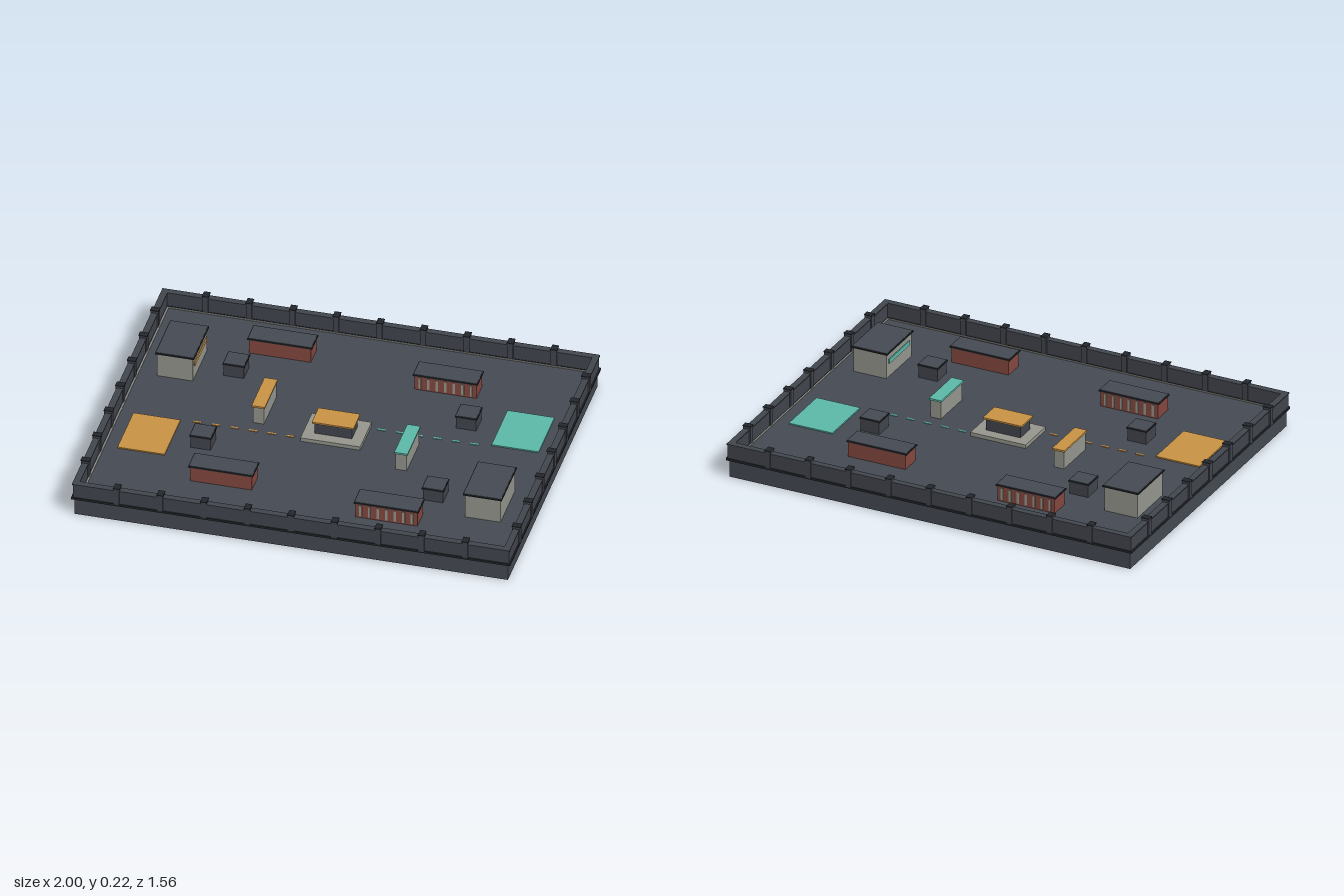
import * as THREE from 'three';

const mat = (name, color, side = THREE.FrontSide) => {
  const m = new THREE.MeshStandardMaterial({ color, side });
  m.name = name;
  return m;
};

export function createModel() {
  const slate = mat('slate', 0x464b54);
  const wallGrey = mat('wall grey', 0x42464e);
  const dark = mat('dark trim', 0x24272c);
  const concrete = mat('concrete', 0x97988f);
  const brick = mat('brick red', 0x86493f);
  const amber = mat('amber', 0xcb9445);
  const teal = mat('teal', 0x5dbaaa);

  const model = new THREE.Group();
  model.name = 'arena';
  const FLOOR = 0.09;

  // Box given by its centre in x and z, its bottom y and its size
  const box = (parent, name, material, x, y, z, w, h, d) => {
    const mesh = new THREE.Mesh(new THREE.BoxGeometry(w, h, d), material);
    mesh.name = name;
    mesh.position.set(x, y + h / 2, z);
    parent.add(mesh);
    return mesh;
  };

  // Flat roof: thin dark lip under a slate top
  const roof = (parent, x, y, z, w, d) => {
    box(parent, 'roofLip', dark, x, y, z, w, 0.006, d);
    box(parent, 'roofTop', slate, x, y + 0.006, z, w - 0.008, 0.002, d - 0.008);
  };

  // Base slab and the ledge around it
  box(model, 'base', slate, 0, 0, 0, 1.97, FLOOR, 1.53);
  for (const s of [-1, 1]) {
    box(model, 'ledge', dark, 0, 0.084, s * 0.763, 1.994, 0.01, 0.03);
    box(model, 'ledge', dark, s * 0.983, 0.084, 0, 0.03, 0.01, 1.55);
  }

  // Perimeter walls, their caps, posts and the pale floor line inside
  for (const s of [-1, 1]) {
    box(model, 'longWall', wallGrey, 0, FLOOR, s * 0.761, 1.98, 0.069, 0.024);
    box(model, 'longWallCap', wallGrey, 0, 0.159, s * 0.761, 1.988, 0.005, 0.03);
    box(model, 'sideWall', wallGrey, s * 0.98, FLOOR, 0, 0.024, 0.069, 1.54);
    box(model, 'sideWallCap', wallGrey, s * 0.98, 0.159, 0, 0.03, 0.005, 1.546);
    box(model, 'floorLine', concrete, 0, FLOOR, s * 0.739, 1.926, 0.003, 0.006);
    box(model, 'floorLine', concrete, s * 0.96, FLOOR, 0, 0.006, 0.003, 1.478);
    for (let i = -4; i <= 4; i++) {
      box(model, 'longWallPost', wallGrey, i * 0.198, FLOOR, s * 0.76, 0.026, 0.084, 0.036);
      box(model, 'longWallPostCap', dark, i * 0.198, 0.174, s * 0.76, 0.03, 0.004, 0.04);
    }
    for (let i = -3; i <= 3; i++) {
      box(model, 'sideWallPost', wallGrey, s * 0.98, FLOOR, i * 0.198, 0.036, 0.084, 0.026);
      box(model, 'sideWallPostCap', dark, s * 0.98, 0.174, i * 0.198, 0.04, 0.004, 0.03);
    }
  }

  // Centre platform
  box(model, 'centrePlatform', concrete, 0, FLOOR, 0, 0.272, 0.018, 0.196);
  box(model, 'centreBlock', wallGrey, 0, 0.108, 0, 0.17, 0.056, 0.095);
  box(model, 'centreCap', amber, 0, 0.164, 0, 0.19, 0.008, 0.114);

  // One team half; the other is the same half turned round
  const makeHalf = (name, accent) => {
    const half = new THREE.Group();
    half.name = name;

    // Ground pad and dashed guide line
    box(half, 'startPad', accent, -0.792, FLOOR, 0.22, 0.214, 0.006, 0.272);
    for (let i = 0; i < 6; i++) {
      box(half, 'guideDash', accent, -0.61 + i * 0.0845, FLOOR, 0.075, 0.038, 0.003, 0.009);
    }

    // Cover wall with a coloured cap
    box(half, 'coverWall', concrete, -0.349, FLOOR, -0.092, 0.05, 0.085, 0.21);
    box(half, 'coverWallCap', accent, -0.349, 0.175, -0.092, 0.06, 0.009, 0.222);

    // Bunker with a coloured band facing the middle
    box(half, 'bunkerWalls', concrete, -0.792, FLOOR, -0.348, 0.162, 0.118, 0.246);
    roof(half, -0.792, 0.208, -0.348, 0.177, 0.26);
    box(half, 'bunkerBand', accent, -0.709, 0.155, -0.348, 0.005, 0.022, 0.2);

    // Brick containers, ribbed on the back face
    for (const z of [-0.545, 0.465]) {
      box(half, 'container', brick, -0.387, FLOOR, z, 0.282, 0.072, 0.098);
      roof(half, -0.387, 0.162, z, 0.295, 0.108);
      for (let i = -3; i <= 3; i++) {
        box(half, 'containerRib', concrete, -0.387 + i * 0.039, 0.098, z - 0.05, 0.011, 0.056, 0.005);
      }
    }

    // Small crates
    for (const z of [-0.347, 0.221]) {
      box(half, 'crate', wallGrey, -0.545, FLOOR, z, 0.092, 0.058, 0.092);
      roof(half, -0.545, 0.148, z, 0.1, 0.1);
    }
    model.add(half);
    return half;
  };
  makeHalf('amberHalf', amber);
  makeHalf('tealHalf', teal).rotation.y = Math.PI;

  return model;
}
